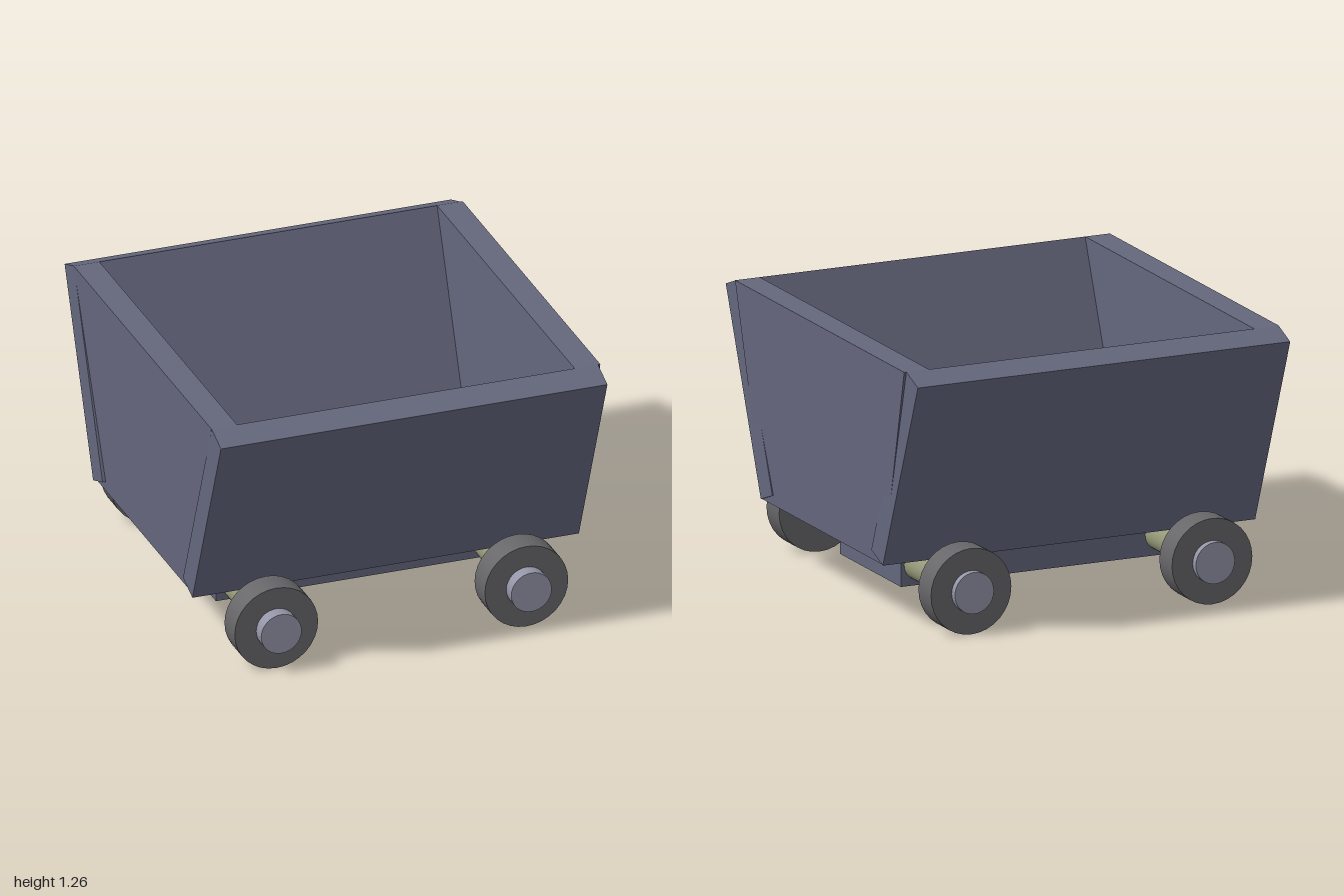
import * as THREE from 'three';

const material = (color) => new THREE.MeshStandardMaterial({ color });

// Extrude a (z, y) outline along x, centred on x = 0
function extrudeAlongX(points, width) {
  const shape = new THREE.Shape(points.map(([z, y]) => new THREE.Vector2(z, y)));
  const geometry = new THREE.ExtrudeGeometry(shape, { depth: width, bevelEnabled: false });
  return geometry.translate(0, 0, -width / 2).rotateY(-Math.PI / 2);
}

export function createModel() {
  const cart = new THREE.Group();
  cart.name = 'mineCart';
  const steel = material(0x64667c);
  const wheelMetal = material(0x666669);
  const hubMetal = material(0x9494a8);
  const axleMetal = material(0x969a78);

  function add(parent, name, geometry, mat, x = 0, y = 0, z = 0) {
    const mesh = new THREE.Mesh(geometry, mat);
    mesh.name = name;
    mesh.position.set(x, y, z);
    parent.add(mesh);
    return mesh;
  }

  // Cylinder along z between two z positions
  function addRod(parent, name, radius, z0, z1, mat) {
    const geometry = new THREE.CylinderGeometry(radius, radius, Math.abs(z1 - z0), 32);
    add(parent, name, geometry.rotateX(Math.PI / 2), mat, 0, 0, (z0 + z1) / 2);
  }

  // Tub: floor, leaning side walls and upright end walls
  const tub = new THREE.Group();
  tub.name = 'tub';
  cart.add(tub);
  add(tub, 'floor', new THREE.BoxGeometry(1.82, 0.119, 1.26), steel, 0, 0.3655, 0);

  for (const s of [1, -1]) {
    const wall = [[0.635, 0.305], [1, 1.22], [0.88, 1.265], [0.515, 0.35]];
    add(tub, s > 0 ? 'frontWall' : 'backWall',
      extrudeAlongX(wall.map(([z, y]) => [s * z, y]), 1.854), steel, -0.005);

    // End walls lean out very slightly on their outer face
    const end = extrudeAlongX([[-0.63, 0.305], [0.63, 0.305], [0.88, 1.265], [-0.88, 1.265]], 0.12);
    const p = end.attributes.position;
    for (let i = 0; i < p.count; i++) {
      const outer = p.getX(i) * s > 0;
      p.setX(i, s * (outer ? 0.916 + 0.017 * (p.getY(i) - 0.305) / 0.96 : 0.81));
    }
    end.computeVertexNormals();
    add(tub, s > 0 ? 'leftEndWall' : 'rightEndWall', end, steel);
  }

  // Undercarriage beam
  add(cart, 'chassis', new THREE.BoxGeometry(1.38, 0.198, 0.635), steel, -0.01, 0.199, 0);

  // Wheel sets: axle, two wheels and their hubs
  for (const x of [-0.612, 0.588]) {
    const wheelSet = new THREE.Group();
    wheelSet.name = x > 0 ? 'leftWheelSet' : 'rightWheelSet';
    wheelSet.position.set(x, 0.2, 0);
    cart.add(wheelSet);
    addRod(wheelSet, 'axle', 0.076, -0.8, 0.8, axleMetal);
    for (const s of [1, -1]) {
      addRod(wheelSet, 'wheel', 0.2, s * 0.725, s * 0.856, wheelMetal);
      addRod(wheelSet, 'hub', 0.097, s * 0.8, s > 0 ? 0.92 : -0.89, hubMetal);
    }
  }
  return cart;
}
